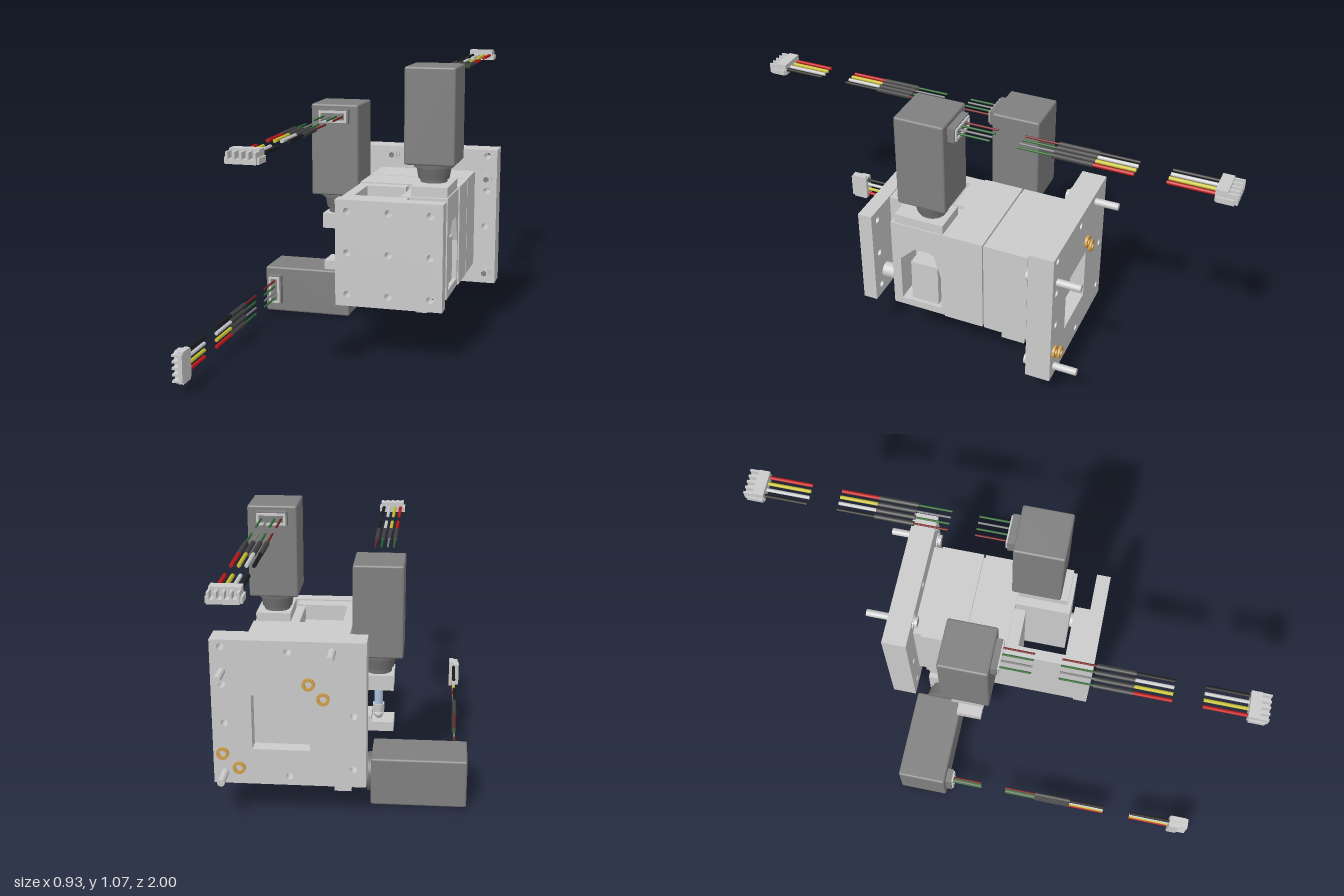
import * as THREE from 'three';
import { RoundedBoxGeometry } from 'three/addons/geometries/RoundedBoxGeometry.js';

const mat = (color) => new THREE.MeshStandardMaterial({ color });
const GREY = mat(0xcccccc), DARK = mat(0x808080), COUPLING = mat(0x707070), STEEL = mat(0xa8c0dc);
const BRASS = mat(0xd0a050), BLACK = mat(0x1c1c1c), SLEEVE = mat(0x404040);
const THICK = [mat(0xc01818), mat(0xc8c030), mat(0xd0d0d0), BLACK];
const THIN = [mat(0x2e6b2e), mat(0x808080), mat(0x2e6b2e), mat(0x7a2020)];

function add(parent, name, geometry, material = GREY) {
  const mesh = new THREE.Mesh(geometry, material);
  mesh.name = name;
  parent.add(mesh);
  return mesh;
}

// Box given by its limits
function box(parent, name, x0, x1, y0, y1, z0, z1, material) {
  const m = add(parent, name, new THREE.BoxGeometry(x1 - x0, y1 - y0, z1 - z0), material);
  m.position.set((x0 + x1) / 2, (y0 + y1) / 2, (z0 + z1) / 2);
  return m;
}

// Cylinder along y, or along z between two levels
function rodY(parent, name, r0, r1, y0, y1, material, sides = 24) {
  const m = add(parent, name, new THREE.CylinderGeometry(r1, r0, y1 - y0, sides), material);
  m.position.y = (y0 + y1) / 2;
  return m;
}
function rodZ(parent, name, r, x, y, z0, z1, material, sides = 20) {
  const g = new THREE.CylinderGeometry(r, r, z1 - z0, sides).rotateX(Math.PI / 2);
  const m = add(parent, name, g, material);
  m.position.set(x, y, (z0 + z1) / 2);
  return m;
}

const rectPoints = (x0, x1, y0, y1) =>
  [[x0, y0], [x1, y0], [x1, y1], [x0, y1]].map((p) => new THREE.Vector2(...p));
function circlePath(x, y, r) {
  return new THREE.Path().absarc(x, y, r, 0, Math.PI * 2, true);
}

// Flat plate in xy with holes, spanning z0 to z1
function plate(parent, name, limits, holes, z0, z1) {
  const shape = new THREE.Shape(rectPoints(...limits));
  shape.holes.push(...holes);
  const g = new THREE.ExtrudeGeometry(shape, { depth: z1 - z0, bevelEnabled: false, curveSegments: 10 });
  add(parent, name, g).position.z = z0;
}

// Motor standing on y = 0, with its spindle pointing down
function actuator(name, x, y, z) {
  const g = new THREE.Group();
  g.name = name;
  const motor = add(g, 'motorBody', new RoundedBoxGeometry(0.19, 0.36, 0.19, 2, 0.008), DARK);
  motor.position.y = 0.18;
  rodY(g, 'couplingFlange', 0.075, 0.075, -0.016, 0, COUPLING, 32);
  rodY(g, 'couplingBody', 0.058, 0.066, -0.06, -0.016, COUPLING, 32);
  rodY(g, 'couplingNeck', 0.05, 0.05, -0.08, -0.06, COUPLING, 32);
  rodY(g, 'spindle', 0.017, 0.017, -0.22, -0.08, STEEL);
  rodY(g, 'spindleNut', 0.025, 0.025, -0.25, -0.218, GREY, 6);
  const tip = [[0, -0.28], [0.01, -0.278], [0.018, -0.268], [0.022, -0.25], [0, -0.25]];
  add(g, 'spindleTip', new THREE.LatheGeometry(tip.map((p) => new THREE.Vector2(...p)), 20));
  g.position.set(x, y, z);
  return g;
}

// Header, broken wire runs and end plug, running along +z
function cable(name, x, y, z) {
  const g = new THREE.Group();
  g.name = name;
  box(g, 'headerBlock', -0.06, 0.06, -0.028, 0.028, -0.005, 0.024, DARK);
  plate(g, 'headerFrame', [-0.055, 0.055, -0.023, 0.023],
    [new THREE.Path(rectPoints(-0.047, 0.047, -0.014, 0.014))], 0.022, 0.03);
  for (let i = 0; i < 4; i++) {
    const wx = -0.0375 + i * 0.025;
    rodZ(g, 'thinWireStub', 0.004, wx, 0, 0.02, 0.145, THIN[i], 8);
    rodZ(g, 'thinWire', 0.004, wx, 0, 0.245, 0.37, THIN[i], 8);
    rodZ(g, 'wireSleeve', 0.009, wx, 0, 0.37, 0.515, SLEEVE, 10);
    rodZ(g, 'thickWire', 0.007, wx, 0, 0.515, 0.655, THICK[i], 8);
    rodZ(g, 'thickWireEnd', 0.007, wx, 0, 0.765, 0.93, THICK[i], 8);
  }
  box(g, 'plugBody', -0.05, 0.05, -0.02, 0.024, 0.925, 0.965);
  box(g, 'plugFloor', -0.05, 0.05, -0.02, -0.005, 0.965, 1);
  for (let i = 0; i < 5; i++) {
    const rx = -0.046 + i * 0.023;
    box(g, 'plugRib', rx - 0.004, rx + 0.004, -0.005, 0.018, 0.965, 1);
  }
  for (const s of [-1, 1]) box(g, 'plugRail', s * 0.053 - 0.004, s * 0.053 + 0.004, -0.02, 0, 0.93, 0.99);
  g.position.set(x, y, z);
  return g;
}

export function createModel() {
  const root = new THREE.Group();
  root.name = 'motorisedStage';

  // Base plate, recessed from behind, with screws and brass inserts
  const base = new THREE.Group();
  base.name = 'basePlate';
  root.add(base);
  const limits = [-0.095, 0.465, 0.13, 0.69];
  const small = [[0.425, 0.664], [0.425, 0.52], [-0.05, 0.41], [-0.05, 0.2], [0.185, 0.65], [0.185, 0.165], [0.42, 0.37]];
  const holes = () => small.map(([x, y]) => circlePath(x, y, 0.013));
  plate(base, 'plateFront', limits, holes(), -0.385, -0.345);
  plate(base, 'plateRear', limits, [...holes(), new THREE.Path(rectPoints(0.11, 0.32, 0.27, 0.48))], -0.44, -0.385);
  for (const [x, y] of [[0.027, 0.655], [0.423, 0.57], [0.423, 0.173]]) {
    rodZ(base, 'screwWasher', 0.03, x, y, -0.346, -0.34);
    rodZ(base, 'screwHead', 0.022, x, y, -0.34, -0.328);
    rodZ(base, 'screwSocket', 0.012, x, y, -0.328, -0.327, DARK, 6);
    rodZ(base, 'screwShank', 0.014, x, y, -0.53, -0.43);
  }
  for (const [x, y] of [[0.112, 0.53], [0.06, 0.475], [0.43, 0.25], [0.37, 0.195]]) {
    const ring = new THREE.Shape().absarc(0, 0, 0.024, 0, Math.PI * 2);
    ring.holes.push(circlePath(0, 0, 0.013));
    const g = new THREE.ExtrudeGeometry(ring, { depth: 0.012, bevelEnabled: false, curveSegments: 10 });
    add(base, 'brassInsert', g, BRASS).position.set(x, y, -0.45);
  }

  // Stacked slide blocks
  const body = new THREE.Group();
  body.name = 'slideBody';
  root.add(body);
  box(body, 'mountingBlock', 0, 0.375, 0.22, 0.6, -0.346, -0.312);
  box(body, 'rearBlock', -0.01, 0.38, 0.22, 0.605, -0.312, -0.143);
  box(body, 'slideGap', 0.01, 0.37, 0.225, 0.595, -0.143, -0.136);
  box(body, 'middleBlock', -0.01, 0.38, 0.22, 0.605, -0.136, 0.02);
  box(body, 'carriageTab', -0.01, 0.18, 0.22, 0.6, 0.02, 0.065);
  box(body, 'carriageSideWall', -0.01, 0.03, 0.22, 0.6, 0.065, 0.25);
  box(body, 'carriageFrontWall', -0.01, 0.235, 0.22, 0.6, 0.25, 0.31);
  const holeGrid = [];
  for (const x of [0.032, 0.186, 0.34]) for (const y of [0.254, 0.409, 0.563]) holeGrid.push(circlePath(x, y, 0.013));
  plate(body, 'frontPlate', [-0.012, 0.385, 0.21, 0.605], holeGrid, 0.31, 0.365);

  // Side bracket with an open pocket around the spindle tip
  box(body, 'bracketInnerWall', 0.2, 0.25, 0.22, 0.6, 0.02, 0.235);
  const bracket = new THREE.Shape(rectPoints(0.02, 0.235, 0.22, 0.6));
  bracket.holes.push(new THREE.Path([[0.035, 0.25], [0.035, 0.4], [0.065, 0.5], [0.14, 0.5], [0.2, 0.44], [0.2, 0.25]]
    .map((p) => new THREE.Vector2(...p))));
  const pocket = new THREE.ExtrudeGeometry(bracket, { depth: 0.125, bevelEnabled: false }).rotateY(-Math.PI / 2);
  add(body, 'bracketOuterWall', pocket).position.x = 0.375;
  box(body, 'pocketAnvil', 0.25, 0.36, 0.25, 0.425, 0.055, 0.165);
  rodZ(body, 'carriageStop', 0.03, 0.3, 0.3, 0.23, 0.312);
  box(body, 'upperMotorPad', 0.235, 0.37, 0.6, 0.637, 0.025, 0.22);

  // Side mount and stop for the left vertical actuator
  const side = new THREE.Group();
  side.name = 'leftMount';
  root.add(side);
  box(side, 'mountBlock', -0.18, -0.06, 0.4, 0.46, -0.16, -0.03);
  box(side, 'mountPlate', -0.06, -0.01, 0.385, 0.53, -0.16, -0.03);
  box(side, 'stopArm', -0.18, -0.01, 0.225, 0.262, -0.145, -0.045);
  box(side, 'stopUpright', -0.055, -0.01, 0.262, 0.38, -0.145, -0.045);
  box(side, 'stopWeb', -0.095, -0.055, 0.262, 0.285, -0.145, -0.045);

  // Hanging mount and stop for the lower horizontal actuator
  const lower = new THREE.Group();
  lower.name = 'lowerMount';
  root.add(lower);
  box(lower, 'mountBlock', -0.03, 0.035, 0.04, 0.19, -0.3, -0.165);
  box(lower, 'mountHanger', -0.01, 0.105, 0.145, 0.222, -0.3, -0.19);
  rodZ(lower, 'hangerScrew', 0.015, 0.075, 0.167, -0.2, -0.186, DARK);
  box(lower, 'stopLeg', 0.178, 0.222, 0.04, 0.215, -0.245, -0.15);
  box(lower, 'stopArm', 0.222, 0.335, 0.175, 0.222, -0.245, -0.15);

  // Three actuators with their cables
  root.add(actuator('leftVerticalActuator', -0.12, 0.54, -0.095));
  root.add(actuator('rightVerticalActuator', 0.295, 0.71, 0.098));
  const horizontal = actuator('horizontalActuator', -0.105, 0.097, -0.233);
  horizontal.rotation.z = Math.PI / 2;
  root.add(horizontal);

  root.add(cable('frontCable', -0.12, 0.855, 0));
  const rearCable = cable('rearCable', 0.295, 1.025, 0);
  rearCable.rotation.y = Math.PI;
  const lowCable = cable('lowerCable', -0.42, 0.1, -0.138);
  lowCable.rotation.z = Math.PI / 2;
  root.add(rearCable, lowCable);
  return root;
}
